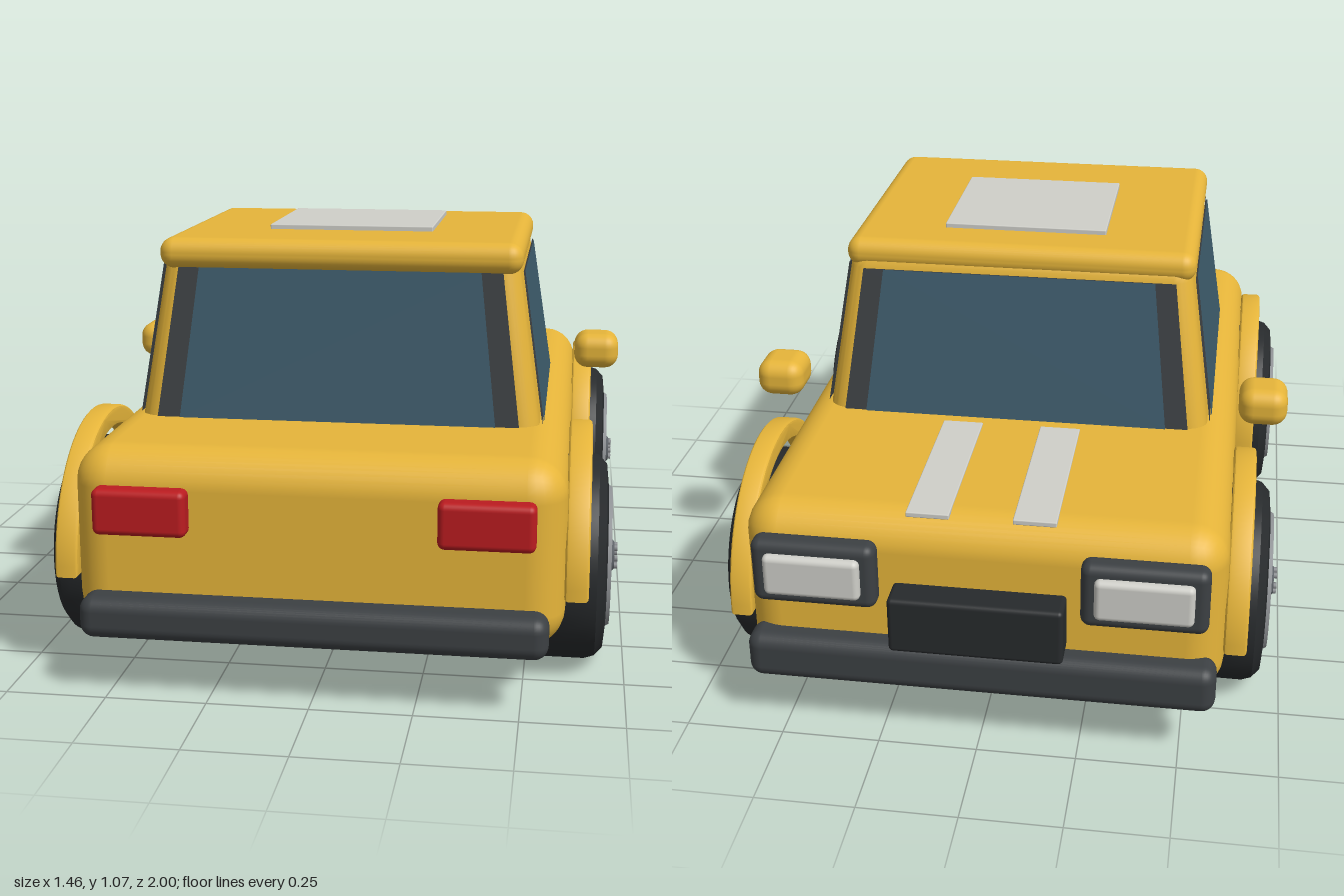
import * as THREE from 'three';
import { RoundedBoxGeometry } from 'three/addons/geometries/RoundedBoxGeometry.js';
import { toCreasedNormals } from 'three/addons/utils/BufferGeometryUtils.js';

const mat = (color) => new THREE.MeshStandardMaterial({ color });
const yellow = mat(0xe6b53a), dark = mat(0x3c4043), tyreBlack = mat(0x272a2c), red = mat(0xbb1c20);
const glass = mat(0x3d5b6b), pale = mat(0xcfcfc9), steel = mat(0x8c8f92), spokeGrey = mat(0x5d6267);
glass.side = dark.side = THREE.DoubleSide;

function add(parent, name, geometry, material, x = 0, y = 0, z = 0) {
  const mesh = new THREE.Mesh(geometry, material);
  mesh.name = name;
  mesh.position.set(x, y, z);
  parent.add(mesh);
  return mesh;
}

// Rounded box given by its extents along each axis
function block(parent, name, [x0, x1], [y0, y1], [z0, z1], radius, material) {
  const geometry = new RoundedBoxGeometry(x1 - x0, y1 - y0, z1 - z0, 4, radius);
  return add(parent, name, geometry, material, (x0 + x1) / 2, (y0 + y1) / 2, (z0 + z1) / 2);
}

// Flat four-cornered pane
function pane(parent, name, corners, material) {
  const geometry = new THREE.BufferGeometry();
  geometry.setAttribute('position', new THREE.Float32BufferAttribute(corners.flat(), 3));
  geometry.setIndex([0, 1, 2, 0, 2, 3]);
  geometry.computeVertexNormals();
  return add(parent, name, geometry, material);
}

// Ring or solid turned around the x axis; profile points are [radius, x]
function turned(profile, segments = 48) {
  const g = new THREE.LatheGeometry(profile.map(([r, x]) => new THREE.Vector2(r, x)), segments);
  return toCreasedNormals(g.rotateZ(-Math.PI / 2), 0.5);
}

// Wheel with its centre at x = 0 on the car's centre line, facing +x
function makeWheel(side) {
  const wheel = new THREE.Group();
  add(wheel, 'tyre', turned([[0.18, 0.48], [0.235, 0.48], [0.258, 0.495], [0.265, 0.52], [0.265, 0.65],
    [0.257, 0.675], [0.235, 0.695], [0.19, 0.7], [0.18, 0.69], [0.18, 0.48]]), tyreBlack);
  add(wheel, 'rim', turned([[0.152, 0.55], [0.182, 0.55], [0.182, 0.7], [0.176, 0.71],
    [0.158, 0.71], [0.152, 0.7], [0.152, 0.55]]), steel);
  add(wheel, 'brakeDisc', turned([[0, 0.58], [0.138, 0.58], [0.138, 0.655], [0, 0.655]]), steel);
  add(wheel, 'hub', turned([[0, 0.64], [0.045, 0.64], [0.045, 0.71], [0.035, 0.72], [0, 0.72]], 24), spokeGrey);
  block(wheel, 'brakeCaliper', [0.64, 0.685], [-0.045, 0.045], [-0.125, -0.08], 0.012, red);
  for (let i = 0; i < 6; i++) {
    const a = (i * Math.PI) / 3;
    const spoke = new THREE.BoxGeometry(0.03, 0.14, 0.032).translate(0, 0.1, 0).rotateX(a);
    add(wheel, 'spoke', spoke, spokeGrey, 0.695);
    const nut = new THREE.CylinderGeometry(0.008, 0.008, 0.012, 8).rotateZ(Math.PI / 2);
    add(wheel, 'wheelNut', nut, steel, 0.722, 0.027 * Math.cos(a + 0.5), 0.027 * Math.sin(a + 0.5));
  }
  // Mirrored by turning half round; the calipers stay towards -z
  if (side < 0) {
    wheel.rotation.y = Math.PI;
    const caliper = wheel.getObjectByName('brakeCaliper');
    caliper.position.z *= -1;
  }
  return wheel;
}

// Half-round flare over a wheel, facing +x
function archGeometry() {
  const shape = new THREE.Shape();
  shape.absarc(0, 0, 0.335, 0, Math.PI, false);
  shape.absarc(0, 0, 0.3, Math.PI, 0, true);
  shape.closePath();
  const g = new THREE.ExtrudeGeometry(shape, {
    depth: 0.04, bevelThickness: 0.009, bevelSize: 0.009, bevelSegments: 3, curveSegments: 28,
  });
  return toCreasedNormals(g.translate(0, 0, -0.02).rotateY(Math.PI / 2), 0.4);
}

// Cabin tapering towards the roof
function cabinGeometry() {
  const g = new RoundedBoxGeometry(1.04, 0.5, 0.9, 5, 0.055);
  const p = g.attributes.position;
  for (let i = 0; i < p.count; i++) {
    const t = (p.getY(i) + 0.19) / 0.4;
    p.setX(i, p.getX(i) * (1 - 0.115 * t));
    p.setZ(i, p.getZ(i) * (1 - 0.155 * t) + 0.11 + 0.01 * t);
  }
  g.computeVertexNormals();
  return toCreasedNormals(g, 0.6);
}

function addWindows(car) {
  const windows = new THREE.Group();
  windows.name = 'windows';
  car.add(windows);
  const yb = 0.6, yt = 0.985;
  // Rear window and windscreen: wide trim with the glass inside
  for (const [name, zb, zt] of [['rearWindow', 0.567, 0.505], ['windscreen', -0.347, -0.267]]) {
    const d = Math.sign(zb) * 0.004;
    const quad = (b, t, o) => [[-b, yb, zb + o], [b, yb, zb + o], [t, yt, zt + o], [-t, yt, zt + o]];
    pane(windows, name + 'Trim', quad(0.47, 0.42, 0), dark);
    pane(windows, name, quad(0.41, 0.365, d), glass);
  }
  // Side windows
  for (const s of [1, -1]) {
    const quad = (z0, z1, z2, z3, o) => [[s * (0.527 + o), yb, z0], [s * (0.527 + o), yb, z1],
      [s * (0.469 + o), yt, z2], [s * (0.469 + o), yt, z3]];
    pane(windows, 'sideWindowTrim', quad(0.515, -0.3, -0.225, 0.465, 0), dark);
    pane(windows, 'sideWindow', quad(0.5, -0.26, -0.195, 0.452, 0.004), glass);
  }
}

export function createModel() {
  const car = new THREE.Group();
  car.name = 'car';

  // Body, cabin and roof
  block(car, 'body', [-0.6, 0.6], [0.13, 0.6], [-0.92, 0.925], 0.095, yellow);
  add(car, 'cabin', cabinGeometry(), yellow, 0, 0.79, 0);
  block(car, 'roof', [-0.47, 0.47], [0.98, 1.06], [-0.26, 0.525], 0.037, yellow);
  addWindows(car);

  // Bumpers and number plate
  block(car, 'rearBumper', [-0.565, 0.565], [0.145, 0.25], [0.9, 1], 0.035, dark);
  block(car, 'frontBumper', [-0.585, 0.585], [0.145, 0.27], [-0.98, -0.88], 0.035, dark);
  block(car, 'frontPlate', [-0.215, 0.215], [0.275, 0.425], [-1, -0.91], 0.012, tyreBlack);

  // Pale panel on the roof and stripes on the bonnet
  block(car, 'roofPanel', [-0.22, 0.22], [1.055, 1.073], [-0.125, 0.285], 0.003, pale);

  const arch = archGeometry();
  for (const s of [1, -1]) {
    const span = (a, b) => (s > 0 ? [a, b] : [-b, -a]);
    block(car, 'bonnetStripe', span(0.078, 0.185), [0.592, 0.606], [-0.885, -0.39], 0.003, pale);
    block(car, 'headlightHousing', span(0.25, 0.56), [0.365, 0.54], [-0.965, -0.9], 0.025, dark);
    block(car, 'headlight', span(0.285, 0.525), [0.4, 0.51], [-0.985, -0.94], 0.015, pale);
    block(car, 'tailLight', span(0.3, 0.53), [0.4, 0.515], [0.91, 0.968], 0.017, red);
    block(car, 'wingMirror', span(0.602, 0.732), [0.6, 0.702], [-0.315, -0.175], 0.04, yellow);
    block(car, 'sill', span(0.54, 0.64), [0.143, 0.232], [-0.5, 0.5], 0.02, dark);
    for (const [end, z] of [['rear', 0.54], ['front', -0.53]]) {
      const wheel = makeWheel(s);
      wheel.name = end + 'Wheel';
      wheel.position.set(0, 0.265, z);
      car.add(wheel);
      add(car, end + 'WheelArch', arch, yellow, s * 0.626, 0.268, z);
    }
  }
  return car;
}
